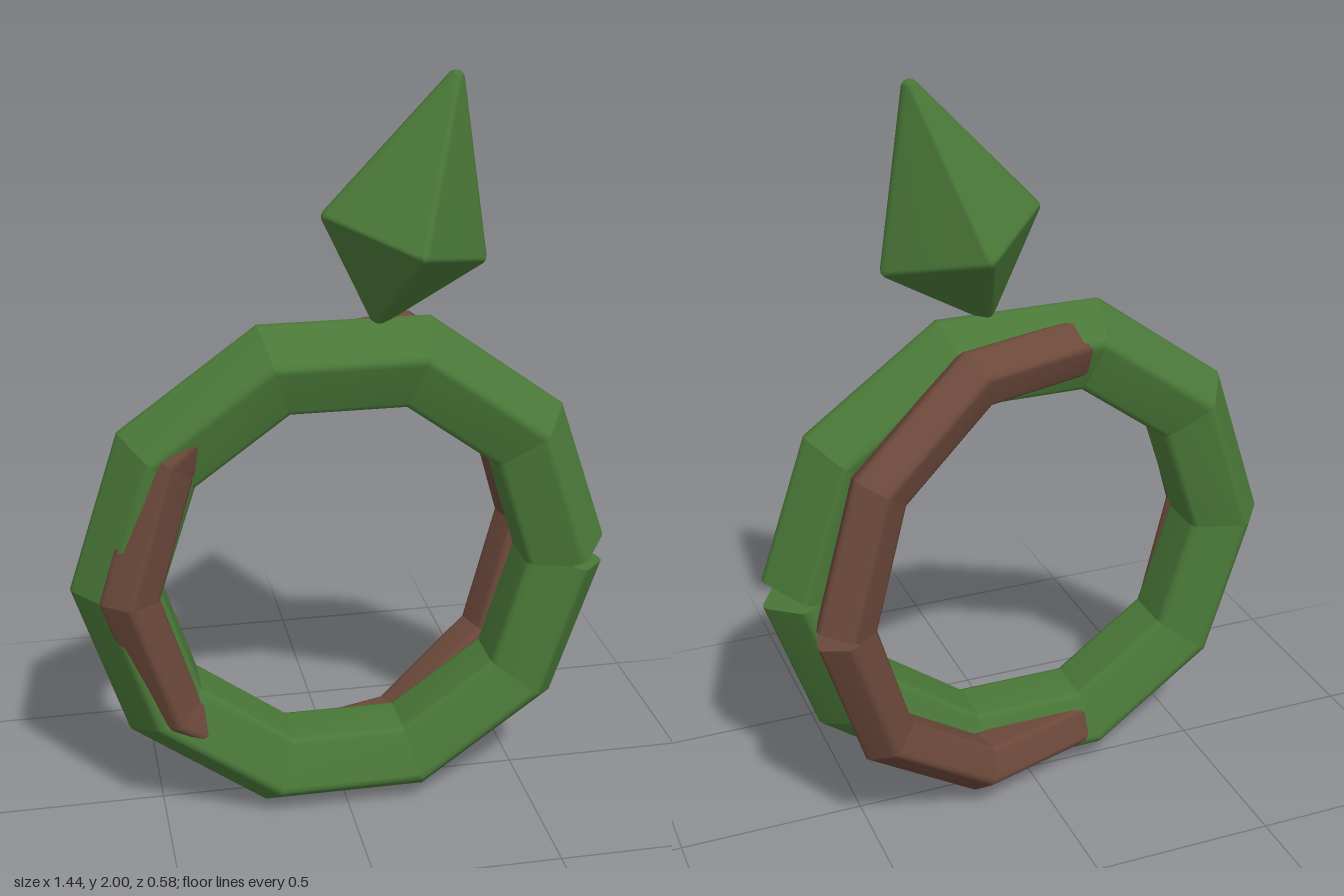
import * as THREE from 'three';
import { mergeVertices, mergeGeometries } from 'three/addons/utils/BufferGeometryUtils.js';
import { ConvexGeometry } from 'three/addons/geometries/ConvexGeometry.js';

const SEGMENTS = 10;

// Five-sided cross-section with softened corners, as [radial, z] pairs
function roundedPentagon(radius, fillet) {
  const points = [];
  const inset = radius - fillet / Math.sin(THREE.MathUtils.degToRad(54));
  for (let i = 0; i < 5; i++) {
    const a = (i / 5) * Math.PI * 2;
    for (let j = -1; j <= 1; j++) {
      const b = a + (j * Math.PI) / 5;
      points.push([inset * Math.cos(a) + fillet * Math.cos(b), inset * Math.sin(a) + fillet * Math.sin(b)]);
    }
  }
  return points;
}

function makeGeometry(positions, index) {
  const g = new THREE.BufferGeometry();
  g.setAttribute('position', new THREE.Float32BufferAttribute(positions, 3));
  g.setIndex(index);
  g.computeVertexNormals();
  return g;
}

// Faceted hoop whose two square-cut ends meet at +x, leaving a wedge-shaped notch
function hoopGeometry(pathRadius, section) {
  const n = section.length;
  const ring = (k) => {
    const a = (k / SEGMENTS) * Math.PI * 2;
    const half = Math.PI / SEGMENTS;
    const d = k === 0 ? half : k === SEGMENTS ? a - half : a;
    return section.flatMap(([r, z]) => [
      pathRadius * Math.cos(a) + r * Math.cos(d),
      pathRadius * Math.sin(a) + r * Math.sin(d),
      z,
    ]);
  };
  const pieces = [];
  for (let k = 0; k < SEGMENTS; k++) {
    const index = [];
    for (let i = 0; i < n; i++) {
      const j = (i + 1) % n;
      index.push(i, n + i, n + j, i, n + j, j);
    }
    pieces.push(makeGeometry([...ring(k), ...ring(k + 1)], index));
  }
  // End caps
  for (const k of [0, SEGMENTS]) {
    const index = [];
    for (let i = 1; i < n - 1; i++) index.push(0, ...(k === 0 ? [i, i + 1] : [i + 1, i]));
    pieces.push(makeGeometry(ring(k), index));
  }
  return mergeGeometries(pieces);
}

// Stretched octahedron with softened edges: the hull of a small ball at each corner
function gemGeometry(width, top, bottom, soft) {
  const ball = new THREE.IcosahedronGeometry(soft, 1).getAttribute('position');
  const w = width - soft;
  const corners = [
    [w, 0, 0], [-w, 0, 0], [0, 0, w], [0, 0, -w],
    [0, top - soft, 0], [0, soft - bottom, 0],
  ];
  const points = [];
  for (const c of corners) {
    for (let i = 0; i < ball.count; i++) {
      points.push(new THREE.Vector3().fromBufferAttribute(ball, i).add(new THREE.Vector3(...c)));
    }
  }
  const hull = new ConvexGeometry(points);
  hull.deleteAttribute('normal');
  const g = mergeVertices(hull, 1e-5);
  g.computeVertexNormals();
  return g;
}

export function createModel() {
  const group = new THREE.Group();
  const green = new THREE.MeshStandardMaterial({ color: 0x4a7838 });
  green.name = 'leaf green';
  const brown = new THREE.MeshStandardMaterial({ color: 0x6b483a });
  brown.name = 'bark brown';

  const add = (name, geometry, material, x, y, z) => {
    const mesh = new THREE.Mesh(geometry, material);
    mesh.name = name;
    mesh.position.set(x, y, z);
    group.add(mesh);
    return mesh;
  };

  // Thick upright hoop
  add('mainHoop', hoopGeometry(0.598, roundedPentagon(0.133, 0.025)), green, 0, 0.692, 0.06);

  // Thinner hoop turned so that it passes through the main one
  const thin = add('crossingHoop', hoopGeometry(0.606, roundedPentagon(0.085, 0.02)), brown, 0, 0.695, -0.03);
  thin.rotation.y = 0.302;

  // Leaning gem on top
  const gem = add('gem', gemGeometry(0.222, 0.43, 0.237, 0.022), green, 0.153, 1.59, 0.065);
  gem.rotation.z = -0.305;

  return group;
}
